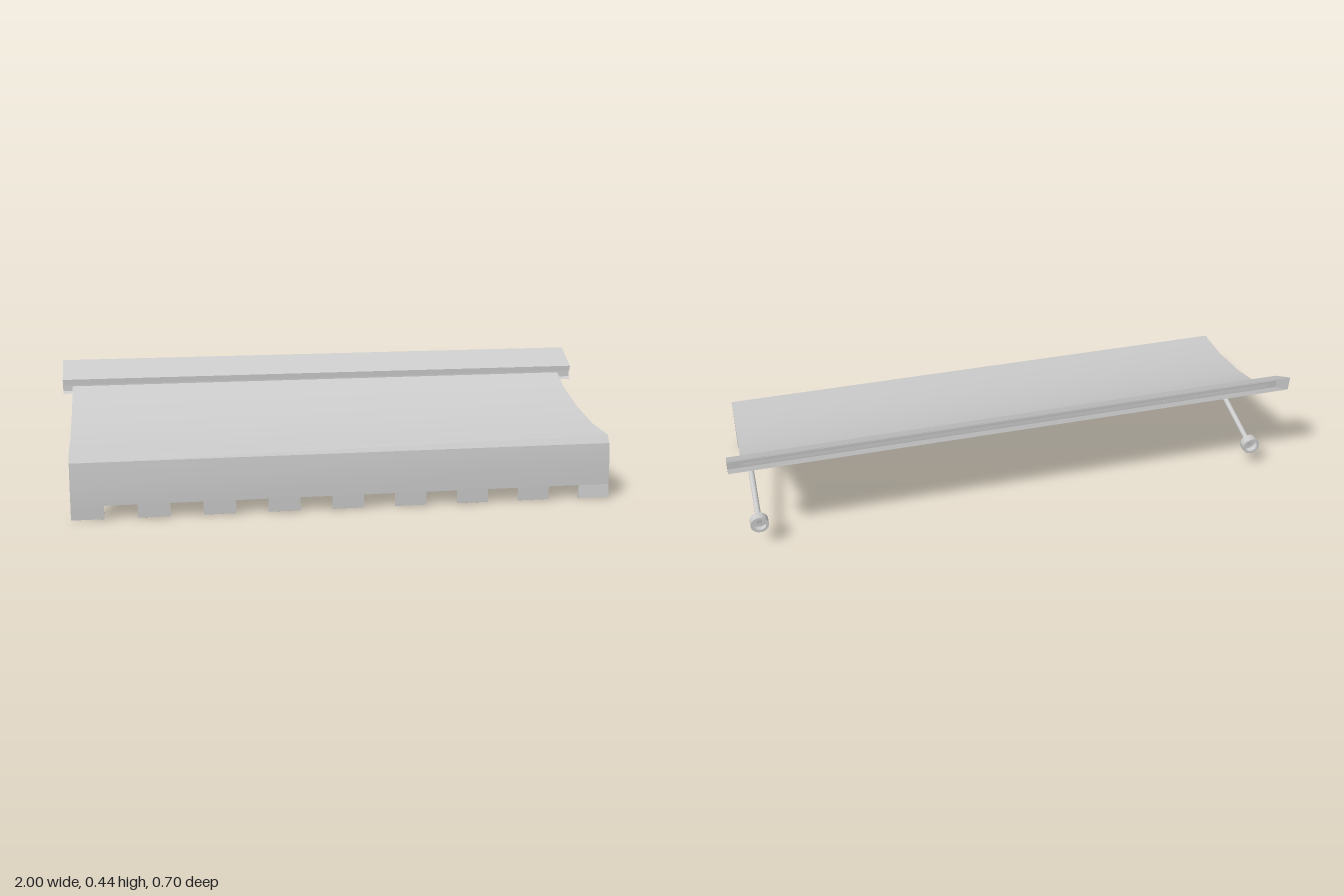
import * as THREE from 'three';
import { toCreasedNormals } from 'three/addons/utils/BufferGeometryUtils.js';

const grey = new THREE.MeshStandardMaterial({ color: 0xcccccc, side: THREE.DoubleSide });

function add(parent, name, geometry) {
  const mesh = new THREE.Mesh(geometry, grey);
  mesh.name = name;
  parent.add(mesh);
  return mesh;
}

// Closed [z, y] outline swept along x from x0 to x1
function sweep(outline, x0, x1) {
  const shape = new THREE.Shape(outline.map(([z, y]) => new THREE.Vector2(-z, y)));
  const geo = new THREE.ExtrudeGeometry(shape, { depth: x1 - x0, bevelEnabled: false });
  geo.rotateY(Math.PI / 2).translate(x0, 0, 0);
  return toCreasedNormals(geo, 0.4);
}

// Open [z, y] line swept along x as a thin sheet
function sheet(line, x0, x1) {
  const pos = [];
  for (let i = 0; i < line.length - 1; i++) {
    const [za, ya] = line[i], [zb, yb] = line[i + 1];
    pos.push(x0, ya, za, x1, ya, za, x1, yb, zb, x0, ya, za, x1, yb, zb, x0, yb, zb);
  }
  const geo = new THREE.BufferGeometry();
  geo.setAttribute('position', new THREE.Float32BufferAttribute(pos, 3));
  geo.computeVertexNormals();
  return geo;
}

// Round bar between two points
function rod(a, b, radius) {
  const dir = b.clone().sub(a);
  const geo = new THREE.CylinderGeometry(radius, radius, dir.length(), 20);
  geo.applyQuaternion(new THREE.Quaternion().setFromUnitVectors(
    new THREE.Vector3(0, 1, 0), dir.clone().normalize()));
  const mid = a.clone().add(b).multiplyScalar(0.5);
  return geo.translate(mid.x, mid.y, mid.z);
}

export function createModel() {
  const model = new THREE.Group();
  model.name = 'awning';
  const left = 0.952, right = -0.965;

  // Canopy: sagging roof folding over into the front valance
  const top = [[-0.258, 0.361], [-0.18, 0.317], [-0.012, 0.267], [0.158, 0.236],
    [0.316, 0.227], [0.333, 0.2], [0.342, 0.125], [0.343, 0.05]];
  const under = [[0.332, 0.05], [0.332, 0.125], [0.321, 0.2], [0.308, 0.217],
    [0.155, 0.226], [-0.015, 0.256], [-0.18, 0.307], [-0.258, 0.35]];
  add(model, 'canopy', sweep([...top, ...under], right, left));

  // Valance tabs; the last one kicks forward a little
  const tabs = 9, width = 0.112, pitch = (left - right - width) / (tabs - 1);
  for (let i = 0; i < tabs; i++) {
    const z = i === tabs - 1 ? 0.35 : 0.343;
    const x = right + i * pitch;
    add(model, 'valanceTab', sweep(
      [[0.343, 0.05], [0.332, 0.05], [0.333, 0], [z, 0.003]], x, x + width));
  }

  // Wall housing: slanted channel, stepped at the front and open at the back
  const housing = [[-0.348, 0.445], [-0.244, 0.386], [-0.244, 0.366], [-0.255, 0.372],
    [-0.253, 0.342], [-0.241, 0.333], [-0.343, 0.39]];
  add(model, 'housing', sheet(housing, -1, 1));
  const capShape = new THREE.Shape(housing.map(([z, y]) => new THREE.Vector2(-z, y)));
  for (const x of [-1, 1]) {
    add(model, 'housingEnd', new THREE.ShapeGeometry(capShape).rotateY(Math.PI / 2).translate(x, 0, 0));
  }

  // Front bar and the two support arms with wall cups
  const armX = 0.92, barY = 0.209, barZ = 0.311;
  add(model, 'frontBar', rod(
    new THREE.Vector3(-armX - 0.01, barY, barZ), new THREE.Vector3(armX + 0.01, barY, barZ), 0.01));
  for (const side of [-1, 1]) {
    const x = side * armX;
    add(model, 'supportArm', rod(
      new THREE.Vector3(x, barY, barZ), new THREE.Vector3(x, 0.103, -0.262), 0.01));
    const cup = new THREE.Group();
    cup.name = 'wallCup';
    cup.position.set(x, 0.105, -0.268);
    add(cup, 'cupRim', new THREE.CylinderGeometry(0.032, 0.032, 0.031, 32, 1, true).rotateX(Math.PI / 2));
    add(cup, 'cupFace', new THREE.CircleGeometry(0.032, 32).translate(0, 0, 0.0155));
    add(cup, 'cupLip', new THREE.RingGeometry(0.022, 0.032, 32).rotateY(Math.PI).translate(0, 0, -0.0155));
    model.add(cup);
  }
  return model;
}
